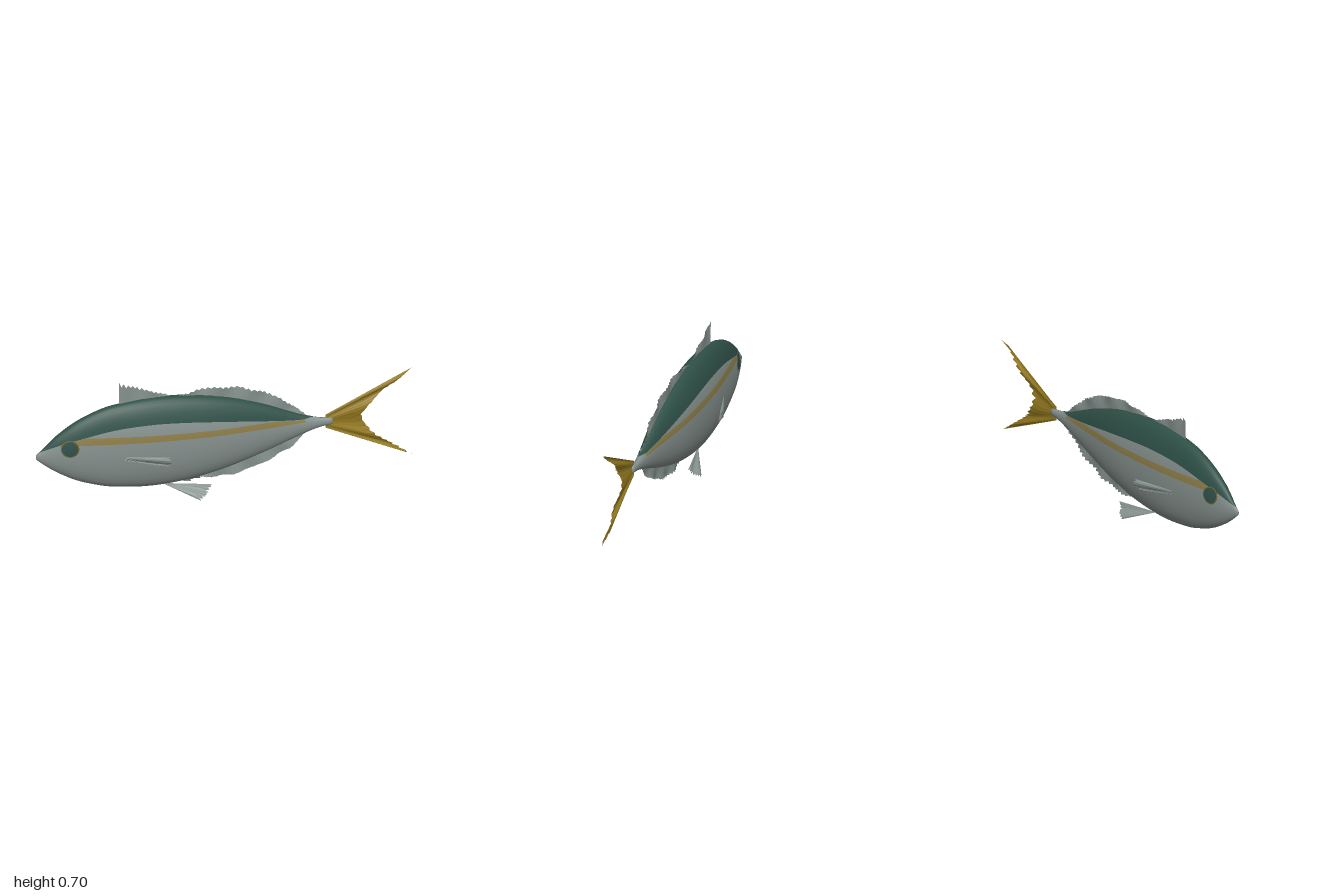
import * as THREE from 'three';

const mat = (name, color, side = THREE.FrontSide) => {
  const m = new THREE.MeshStandardMaterial({ color, side });
  m.name = name;
  return m;
};

// Smooth curve through [x, value] points, looked up by x
function profile(pts) {
  const slope = (i) => {
    const a = pts[Math.max(i - 1, 0)], b = pts[Math.min(i + 1, pts.length - 1)];
    return (b[1] - a[1]) / (b[0] - a[0]);
  };
  return (x) => {
    let i = 0;
    while (i < pts.length - 2 && x > pts[i + 1][0]) i++;
    const [x0, y0] = pts[i], [x1, y1] = pts[i + 1], d = x1 - x0;
    const t = THREE.MathUtils.clamp((x - x0) / d, 0, 1), t2 = t * t, t3 = t2 * t;
    return y0 * (2 * t3 - 3 * t2 + 1) + y1 * (3 * t2 - 2 * t3)
      + d * (slope(i) * (t3 - 2 * t2 + t) + slope(i + 1) * (t3 - t2));
  };
}

const topY = profile([[-1, .328], [-.95, .372], [-.9, .42], [-.8, .49], [-.7, .537], [-.6, .566], [-.4, .586],
  [-.2, .576], [0, .54], [.2, .474], [.4, .385], [.5, .352], [.57, .342]]);
const lowY = profile([[-1, .302], [-.95, .258], [-.9, .22], [-.8, .16], [-.7, .12], [-.6, .093], [-.4, .072],
  [-.2, .084], [0, .124], [.2, .187], [.4, .262], [.5, .294], [.57, .303]]);
const halfW = profile([[-1, .006], [-.9, .036], [-.8, .057], [-.6, .078], [-.4, .091], [-.15, .09],
  [0, .08], [.2, .056], [.4, .029], [.5, .017], [.57, .012]]);
const backEdge = profile([[-1, .335], [-.9, .38], [-.8, .412], [-.6, .455], [-.4, .468], [-.2, .456],
  [0, .43], [.2, .395], [.4, .362], [.46, .362], [.57, .36]]);
const stripeMid = (x) => .405 - (x + .8) * .037;

// Body surface height in z at a given x, y
function bodyZ(x, y) {
  const c = (topY(x) + lowY(x)) / 2, h = (topY(x) - lowY(x)) / 2, u = (y - c) / h;
  return halfW(x) * Math.sqrt(Math.max(0, 1 - u * u));
}

// Elliptical body whose rings follow the colour borders
function bodyGeometry() {
  const N = 96, bands = [9, 2, 2, 7], K = 20, M = 2 * K;
  const pos = [], lists = [[], [], []];
  for (let i = -1; i <= N + 1; i++) {
    const x = -1 + 1.57 * THREE.MathUtils.clamp(i, 0, N) / N;
    const s = i < 0 || i > N ? 0 : 1;
    const c = (topY(x) + lowY(x)) / 2, h = (topY(x) - lowY(x)) / 2;
    const back = backEdge(x), mid = stripeMid(x), half = .02 - (x + .8) * .004;
    const angle = (y) => Math.asin(THREE.MathUtils.clamp((y - c) / h, -.999, .999));
    const stops = [-Math.PI / 2, angle(Math.min(mid - half, back - .004)),
      angle(Math.min(mid + half, back - .002)), angle(back), Math.PI / 2];
    const angles = [];
    bands.forEach((n, b) => {
      for (let k = 0; k < n; k++) angles.push(stops[b] + (stops[b + 1] - stops[b]) * k / n);
    });
    angles.push(Math.PI / 2);
    for (let j = 0; j < M; j++) {
      const a = angles[j <= K ? j : M - j], side = j <= K ? 1 : -1;
      pos.push(x, c + s * h * Math.sin(a), s * side * halfW(x) * Math.cos(a));
    }
  }
  for (let i = 0; i < N + 2; i++) {
    const x = -1 + 1.57 * (i - .5) / N;
    for (let j = 0; j < M; j++) {
      const q = j < K ? j : M - 1 - j;
      const m = q >= 13 ? 1 : q >= 9 && q < 11 && x > -.82 && x < .42 ? 2 : 0;
      const a = i * M + j, b = i * M + (j + 1) % M;
      lists[m].push(a, a + M, b, b, a + M, b + M);
    }
  }
  const g = new THREE.BufferGeometry();
  g.setAttribute('position', new THREE.Float32BufferAttribute(pos, 3));
  g.setIndex(lists.flat());
  let start = 0;
  lists.forEach((l, m) => { g.addGroup(start, l.length, m); start += l.length; });
  g.computeVertexNormals();
  return g;
}

const path = (pts) => {
  const c = new THREE.CurvePath();
  const v = pts.map((p) => new THREE.Vector3(p[0], p[1], p[2] || 0));
  for (let i = 1; i < v.length; i++) c.add(new THREE.LineCurve3(v[i - 1], v[i]));
  return c;
};

// Pleated fin: rays run from a root line to a ragged outer line
function finGeometry(root, outer, rays, ragged, ripple, axis = new THREE.Vector3(0, 0, 1)) {
  const A = path(root), B = path(outer), rows = 4, n = rays * 2, pos = [], idx = [];
  for (let i = 0; i <= n; i++) {
    const a = A.getPoint(i / n), b = B.getPoint(i / n);
    const cut = i % 2 ? ragged * (.7 + .3 * Math.sin(i * 2.3)) : 0;
    const wave = ripple * (.6 * Math.sin(i * .55) + (i % 2 ? .4 : -.4));
    for (let r = 0; r <= rows; r++) {
      const t = r / rows, p = a.clone().lerp(b, t * (1 - cut)).addScaledVector(axis, wave * t);
      pos.push(p.x, p.y, p.z);
      if (i < n && r < rows) {
        const k = i * (rows + 1) + r, l = k + rows + 1;
        idx.push(k, l, k + 1, k + 1, l, l + 1);
      }
    }
  }
  const g = new THREE.BufferGeometry();
  g.setAttribute('position', new THREE.Float32BufferAttribute(pos, 3));
  g.setIndex(idx);
  g.computeVertexNormals();
  return g;
}

// Thin disc or ring laid over the curved cheek
function cheekGeometry(inner, outer, side, lift) {
  const g = new THREE.RingGeometry(inner, outer, 36, 5), p = g.attributes.position;
  for (let i = 0; i < p.count; i++) {
    const x = p.getX(i) - .832, y = p.getY(i) + .368;
    p.setXYZ(i, x, y, side * (bodyZ(x, y) + lift));
  }
  g.computeVertexNormals();
  return g;
}

export function createModel() {
  const D = THREE.DoubleSide;
  const silver = mat('silver belly', 0x87928f), green = mat('dark green back', 0x2e5047);
  const stripe = mat('ochre stripe', 0x8f7f4a), tailGold = mat('golden tail', 0x957a20, D);
  const finGrey = mat('grey fin', 0x87938f, D), iris = mat('eye green', 0x2f4f48, D);
  const rim = mat('eye rim', 0x6f6230, D);
  const model = new THREE.Group();
  const add = (name, geometry, material) => {
    const m = new THREE.Mesh(geometry, material);
    m.name = name;
    model.add(m);
  };

  add('body', bodyGeometry(), [silver, green, stripe]);

  // Fins on the centre line
  add('frontDorsalFin', finGeometry([[-.56, .55], [-.4, .575], [-.29, .575]],
    [[-.56, .698], [-.5, .672], [-.4, .632], [-.29, .588]], 11, .16, .008), finGrey);
  add('rearDorsalFin', finGeometry([[-.24, .565], [0, .53], [.2, .464], [.43, .37]],
    [[-.24, .582], [-.15, .6], [-.05, .605], [.08, .588], [.2, .548], [.3, .492], [.38, .425], [.44, .372]],
    24, .1, .012), finGrey);
  add('analFin', finGeometry([[-.14, .105], [0, .135], [.2, .197], [.43, .28]],
    [[-.14, .088], [-.05, .07], [.05, .076], [.15, .1], [.25, .14], [.35, .192], [.4, .24], [.44, .276]],
    22, .1, .012), finGrey);
  add('tailFin', finGeometry([[.535, .362], [.535, .285]],
    [[.995, .578], [.86, .477], [.77, .4], [.728, .34], [.74, .29], [.79, .225], [.87, .16], [.995, .068]],
    18, .06, .014), tailGold);

  // Paired fins and eyes
  for (const s of [1, -1]) {
    const side = s > 0 ? 'left' : 'right';
    add(side + 'PectoralFin', finGeometry([[-.55, .3, s * .08], [-.55, .278, s * .08]],
      [[-.32, .305, s * .15], [-.315, .27, s * .157], [-.34, .238, s * .125]], 7, .08, .014,
      new THREE.Vector3(-.2, .3, s * .9)), finGrey);
    add(side + 'PelvicFin', finGeometry([[-.33, .082, s * .022], [-.31, .082, s * .022]],
      [[-.15, .004, s * .108], [-.11, .03, s * .092], [-.08, .066, s * .06]], 7, .08, .01,
      new THREE.Vector3(0, .6, s * .8)), finGrey);
    add(side + 'Eye', cheekGeometry(0, .041, s, .005), iris);
    add(side + 'EyeRim', cheekGeometry(.039, .047, s, .004), rim);
  }
  return model;
}
